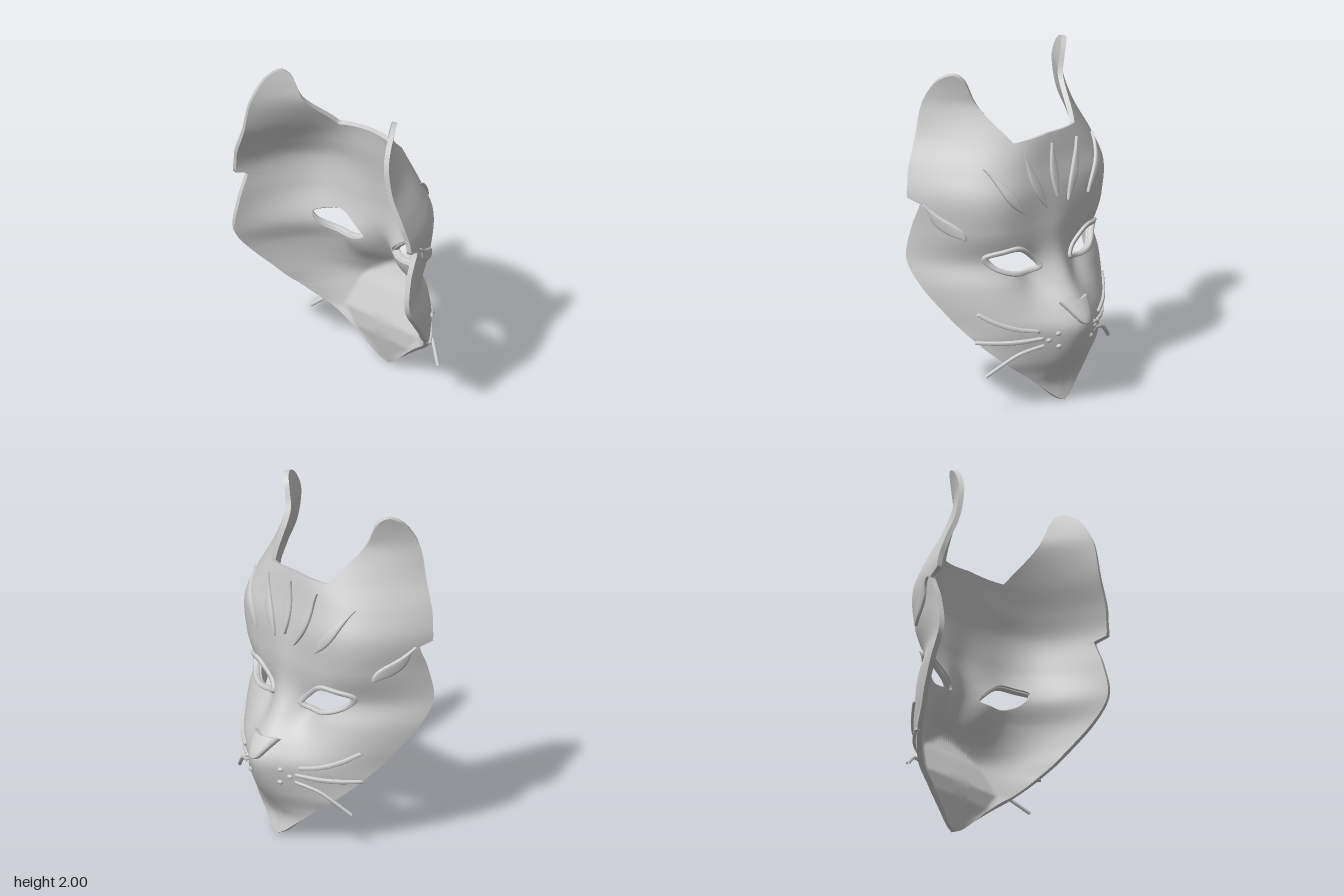
import * as THREE from 'three';

const V = (x, y, z = 0) => new THREE.Vector3(x, y, z);
const grey = new THREE.MeshStandardMaterial({ color: 0xcccccc, side: THREE.DoubleSide });
const THICK = 0.03;

// Face relief by height: y, base depth, ridge height, ridge width, edge depth, half width, fullness
const RELIEF = [
  [0.0, -0.225, 0, 0.15, -0.21, 0.1, 2.2],
  [0.12, -0.205, 0, 0.15, -0.18, 0.17, 2.2],
  [0.2, -0.215, 0.03, 0.16, -0.15, 0.26, 2.2],
  [0.3, -0.24, 0.07, 0.17, -0.1, 0.39, 2.4],
  [0.43, -0.262, 0.108, 0.17, 0.02, 0.505, 2.7],
  [0.52, -0.26, 0.128, 0.17, 0.1, 0.555, 3.0],
  [0.62, -0.215, 0.125, 0.155, 0.2, 0.615, 3.3],
  [0.75, -0.165, 0.085, 0.11, 0.3, 0.665, 3.4],
  [0.9, -0.14, 0.035, 0.1, 0.385, 0.687, 2.9],
  [1.1, -0.145, 0.022, 0.13, 0.39, 0.685, 4.4],
  [1.3, -0.15, 0, 0.15, 0.39, 0.695, 4.6],
  [1.45, -0.125, 0, 0.15, 0.397, 0.657, 3.7],
  [1.62, -0.1, 0, 0.15, 0.413, 0.588, 2.6],
  [1.8, -0.05, 0, 0.15, 0.403, 0.547, 1.9],
  [1.9, -0.05, 0, 0.15, 0.36, 0.522, 2],
  [2.0, -0.05, 0, 0.15, 0.25, 0.47, 2.2],
];

// Smooth (Hermite) interpolation of one relief column
function relief(y, col) {
  const R = RELIEF, n = R.length;
  y = Math.min(Math.max(y, 0), 2);
  let k = 0;
  while (k < n - 2 && y > R[k + 1][0]) k++;
  const slope = (i) => {
    const a = R[Math.max(i - 1, 0)], b = R[Math.min(i + 1, n - 1)];
    return (b[col] - a[col]) / (b[0] - a[0]);
  };
  const h = R[k + 1][0] - R[k][0], t = (y - R[k][0]) / h, t2 = t * t, t3 = t2 * t;
  return (2 * t3 - 3 * t2 + 1) * R[k][col] + (t3 - 2 * t2 + t) * h * slope(k)
    + (3 * t2 - 2 * t3) * R[k + 1][col] + (t3 - t2) * h * slope(k + 1);
}

// Depth of the outer face at (x, y)
function depth(x, y) {
  const ax = Math.abs(x);
  const [base, ridge, sigma, edge, width, power] = [1, 2, 3, 4, 5, 6].map((c) => relief(y, c));
  const socket = 0.03 * Math.exp(-(((ax - 0.18) / 0.08) ** 2) - ((y - 0.82) / 0.1) ** 2);
  return base + (edge - base) * (ax / width) ** power - ridge * Math.exp(-((x / sigma) ** 2)) + socket;
}
const onFace = (x, y) => V(x, y, depth(x, y));
function faceNormal(x, y) {
  const e = 0.004;
  return V((depth(x + e, y) - depth(x - e, y)) / (2 * e), (depth(x, y + e) - depth(x, y - e)) / (2 * e), -1).normalize();
}
// Inner skin, with the hollow of the snout filled by a sloping panel
function insideOf(p) {
  const q = p.clone().addScaledVector(faceNormal(p.x, p.y), -THICK);
  q.z = Math.max(q.z, Math.min(-0.02 - 0.42 * p.y, -0.145, -0.2 + 0.3 * p.y));
  return q;
}

// Surface through rows of points
function gridGeo(rows, wrap = true, flip = false) {
  const n = rows[0].length, idx = [];
  for (let j = 0; j < rows.length - 1; j++) {
    for (let i = 0; i < (wrap ? n : n - 1); i++) {
      const a = j * n + i, b = j * n + (i + 1) % n, c = b + n, d = a + n;
      if (flip) idx.push(a, c, d, a, b, c);
      else idx.push(a, d, c, a, c, b);
    }
  }
  const g = new THREE.BufferGeometry().setFromPoints(rows.flat());
  g.setIndex(idx);
  g.computeVertexNormals();
  return g;
}
// Keep normals continuous across the centre line
function smoothCentre(g) {
  const p = g.attributes.position, m = g.attributes.normal;
  for (let i = 0; i < p.count; i++) if (Math.abs(p.getX(i)) < 1e-5) m.setX(i, 0);
  g.normalizeNormals();
  return g;
}
function mirrored(g) {
  const m = g.clone().scale(-1, 1, 1), ix = m.index;
  for (let i = 0; i < ix.count; i += 3) {
    const b = ix.getX(i + 1);
    ix.setX(i + 1, ix.getX(i + 2));
    ix.setX(i + 2, b);
  }
  return m;
}
const curve = (pts, closed = false) => new THREE.CatmullRomCurve3(pts.map(([x, y]) => V(x, y)), closed);

// Raised band that follows the face along a path
function band(pts, width, height, closed = false, steps = 28) {
  const path = curve(pts, closed), ts = [];
  for (let i = 0; i <= steps; i++) ts.push(i / steps);
  if (!closed) { ts.unshift(0); ts.push(1); }
  const rows = ts.map((t, k) => {
    const p = path.getPoint(t), T = path.getTangent(t);
    const end = !closed && (k === 0 || k === ts.length - 1);
    const w = end ? 0 : width(t), h = end ? 0 : height;
    return Array.from({ length: 16 }, (_, i) => {
      const a = (i / 16) * Math.PI * 2, c = Math.cos(a), s = Math.sin(a);
      const x = p.x - T.y * w * Math.sign(c) * Math.abs(c) ** 0.6;
      const y = p.y + T.x * w * Math.sign(c) * Math.abs(c) ** 0.6;
      return onFace(x, y).addScaledVector(faceNormal(x, y), h * Math.sign(s) * Math.abs(s) ** 0.6);
    });
  });
  return gridGeo(rows);
}

export function createModel() {
  const model = new THREE.Group();
  const add = (name, geo, both = true) => {
    const make = (g, n) => {
      const m = new THREE.Mesh(g, grey);
      m.name = n;
      model.add(m);
    };
    make(geo, both ? name + 'Left' : name);
    if (both) make(mirrored(geo), name + 'Right');
  };

  // Outline of one half: cheek, ear, brow edge, then the centre line
  const cheek = curve([[0, 0.01], [0.05, 0.035], [0.13, 0.1], [0.25, 0.2], [0.38, 0.305], [0.5, 0.44], [0.6, 0.61],
    [0.66, 0.75], [0.683, 0.88], [0.672, 1.1], [0.665, 1.25]]).getSpacedPoints(80);
  const ear = curve([[0.69, 1.275], [0.687, 1.32], [0.655, 1.45], [0.585, 1.62], [0.545, 1.8], [0.52, 1.9], [0.493, 1.97],
    [0.455, 2.0], [0.41, 1.96], [0.365, 1.85], [0.32, 1.75], [0.285, 1.68], [0.245, 1.605]]).getSpacedPoints(80);
  const line = (a, b, n) => Array.from({ length: n }, (_, i) => a.clone().lerp(b, (i + 1) / n));
  const brow = line(V(0.245, 1.605), V(0, 1.62), 14);
  const centre = line(V(0, 1.62), V(0, 0.01), 56).slice(0, -1);
  const rim = [...cheek, ...ear, ...brow];
  const outline = [...rim, ...centre];

  // Eye opening, matched to the outline by direction
  const eyePts = [[0.125, 0.848], [0.19, 0.925], [0.27, 0.975], [0.35, 0.968], [0.425, 0.94], [0.385, 0.875], [0.3, 0.835], [0.205, 0.825]];
  const eye = V(0.28, 0.905);
  const eyeSamples = curve(eyePts, true).getPoints(800);
  const dirTo = (p) => p.clone().sub(eye).normalize();
  const hole = outline.map((p) => {
    const d = dirTo(p);
    return eyeSamples.reduce((best, q) => {
      const s = dirTo(q).dot(d);
      return s > best.s ? { s, q } : best;
    }, { s: -2, q: null }).q;
  });

  // Shell: outer and inner skins from the eye opening to the outline
  const M = 40, outer = [];
  for (let j = 0; j <= M; j++) {
    outer.push(outline.map((p, i) => {
      const q = hole[i].clone().lerp(p, j / M);
      return onFace(q.x, q.y);
    }));
  }
  const inner = outer.map((row) => row.map(insideOf));
  add('maskOuter', smoothCentre(gridGeo(outer, true, true)));
  add('maskInner', smoothCentre(gridGeo(inner)));
  add('maskEdge', gridGeo([inner[M].slice(0, rim.length), outer[M].slice(0, rim.length)], false));
  add('eyeWall', gridGeo([outer[0], inner[0]]));

  // Raised rim around each eye
  const rimPts = eyePts.map(([x, y]) => [eye.x + (x - eye.x) * 1.05, eye.y + (y - eye.y) * 1.08]);
  add('eyeRim', band(rimPts, () => 0.014, 0.018, true, 60));

  // Leaf-shaped forehead and temple marks
  const leaf = (w, skew) => (t) => w * Math.sin(Math.PI * t ** skew) + 0.002;
  add('foreheadMarkCentre', band([[0, 1.56], [0, 1.4], [0, 1.24]], leaf(0.026, 1.2), 0.017), false);
  add('foreheadMarkInner', band([[0.21, 1.54], [0.165, 1.38], [0.085, 1.2]], leaf(0.026, 1.4), 0.017));
  add('foreheadMarkOuter', band([[0.43, 1.48], [0.355, 1.34], [0.255, 1.2]], leaf(0.028, 1.4), 0.017));
  add('templeMark', band([[0.657, 1.255], [0.61, 1.155], [0.53, 1.06]], leaf(0.025, 1.8), 0.017));

  // Nose pad, wide at the top and pointed below
  add('nose', band([[0, 0.645], [0, 0.59], [0, 0.525]], (t) => 0.085 * (1 - t) ** 0.7 + 0.015, 0.032), false);

  // Whiskers: two lie on the cheek, the lowest springs free
  const taper = (t) => 0.004 + 0.009 * Math.sin(Math.PI * (0.2 + t * 0.6));
  add('whiskerTop', band([[0.23, 0.5], [0.34, 0.52], [0.43, 0.56], [0.495, 0.61]], taper, 0.016));
  add('whiskerMiddle', band([[0.21, 0.455], [0.35, 0.435], [0.493, 0.43]], taper, 0.016));
  const free = new THREE.CatmullRomCurve3([onFace(0.2, 0.405), V(0.33, 0.365, -0.19), V(0.42, 0.3, -0.13), V(0.49, 0.24, -0.08)]);
  add('whiskerLow', new THREE.TubeGeometry(free, 24, 0.011, 8));

  // Whisker dots
  for (const [x, y] of [[0.14, 0.48], [0.18, 0.438], [0.125, 0.395]]) {
    const dot = new THREE.SphereGeometry(0.018, 14, 10).scale(1.1, 0.8, 0.8);
    const p = onFace(x, y);
    add('whiskerDot', dot.translate(p.x, p.y, p.z));
  }
  return model;
}
